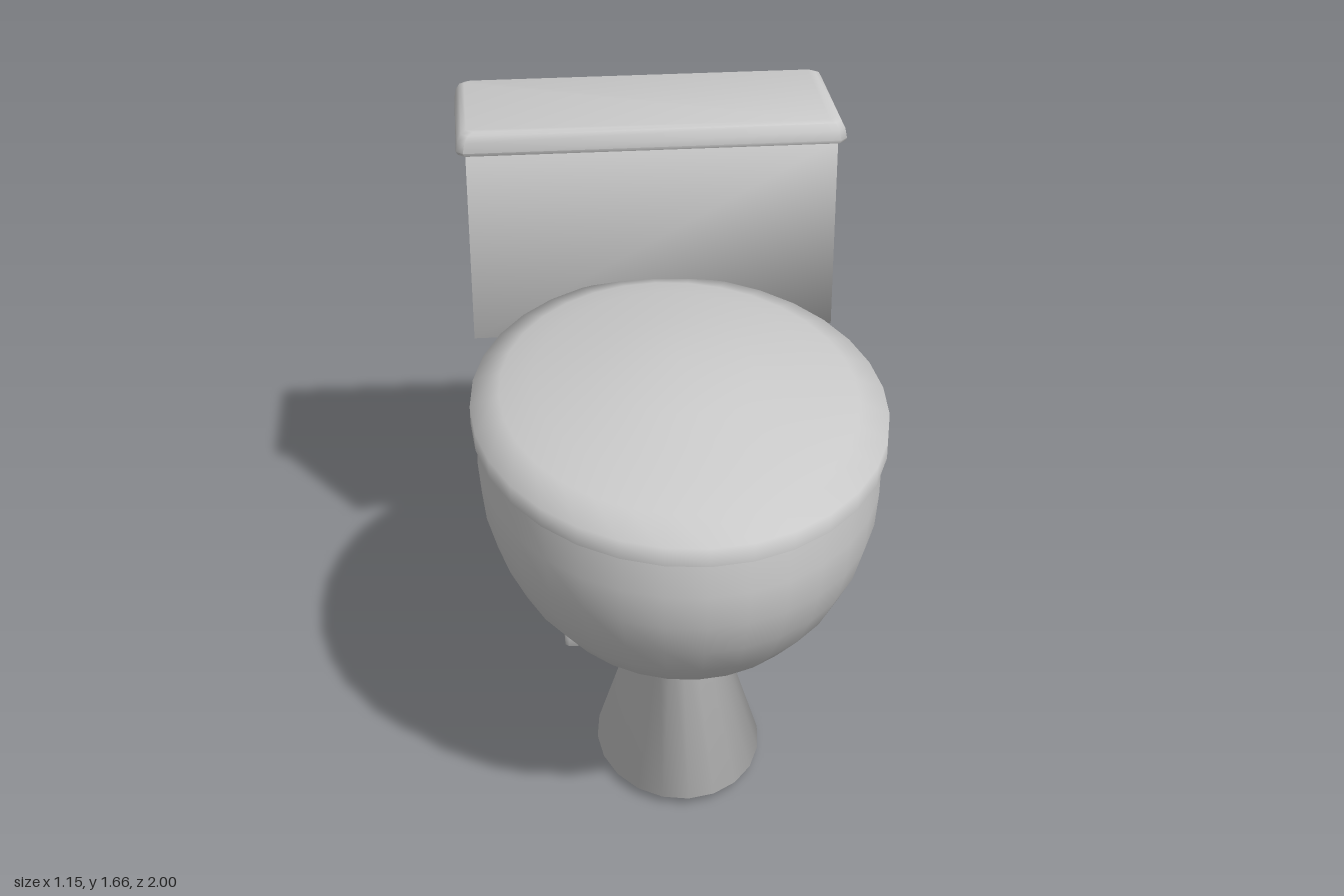
import * as THREE from 'three';
import { mergeVertices, toCreasedNormals } from 'three/addons/utils/BufferGeometryUtils.js';

const material = new THREE.MeshStandardMaterial({ color: 0xcccccc });
const BOWL_Z = 0.215;

function addPart(group, name, geometry) {
  const mesh = new THREE.Mesh(geometry, material);
  mesh.name = name;
  group.add(mesh);
}

// Lathe stretched to an ellipse; profile is [radius, y] from bottom to top
function ovalLathe(profile, rx, rz, segments, crease) {
  const points = profile.map(([r, y]) => new THREE.Vector2(r, y));
  const geometry = new THREE.LatheGeometry(points, segments);
  geometry.scale(rx, 1, rz);
  geometry.deleteAttribute('normal');
  geometry.deleteAttribute('uv');
  geometry.translate(0, 0, BOWL_Z);
  return toCreasedNormals(mergeVertices(geometry), crease);
}

// Closed skin over horizontal rings: { y, ring: [[x, z], ...] } from bottom to top
function loft(sections, crease) {
  const n = sections[0].ring.length;
  const positions = [];
  const index = [];
  for (const { y, ring } of sections) for (const [x, z] of ring) positions.push(x, y, z);
  for (let i = 0; i < sections.length - 1; i++) {
    for (let j = 0; j < n; j++) {
      const a = i * n + j, b = i * n + (j + 1) % n;
      index.push(a, b, b + n, a, b + n, a + n);
    }
  }
  const top = (sections.length - 1) * n;
  for (let j = 1; j < n - 1; j++) {
    index.push(0, j + 1, j);
    index.push(top, top + j, top + j + 1);
  }
  const geometry = new THREE.BufferGeometry();
  geometry.setAttribute('position', new THREE.Float32BufferAttribute(positions, 3));
  geometry.setIndex(index);
  return toCreasedNormals(geometry, crease);
}

// Mirrors a front-to-back half outline into a full ring
const mirrored = (half) => [...half, ...half.slice().reverse().map(([x, z]) => [-x, z])];

// Rectangle with cut corners
function rectRing(cx, cz, w, d, cut) {
  const half = [[w - cut, d], [w, d - cut], [w, cut - d], [w - cut, -d]];
  return mirrored(half).map(([x, z]) => [x + cx, z + cz]);
}

export function createModel() {
  const model = new THREE.Group();
  model.name = 'toilet';

  // Pedestal under the bowl, with a shallow pointed underside
  addPart(model, 'pedestal', ovalLathe(
    [[0, 0], [0.24, 0.025], [0.105, 0.45], [0.15, 0.5]], 1, 1.34, 20, 2.2));

  // Bowl
  addPart(model, 'bowl', ovalLathe(
    [[0, 0.44], [0.2, 0.45], [0.37, 0.475], [0.55, 0.525], [0.72, 0.595], [0.85, 0.69],
      [0.935, 0.79], [0.985, 0.89], [1, 0.99], [0.985, 1.1], [0, 1.1]], 0.556, 0.74, 32, 0.9));

  // Domed seat lid, just clear of the rim
  addPart(model, 'seatLid', ovalLathe(
    [[0, 1.11], [1, 1.11], [1, 1.162], [0.86, 1.192], [0.7, 1.22], [0.36, 1.26], [0, 1.283]],
    0.569, 0.785, 32, 1.4));

  // Rear column: narrow at the back and waist, flared under the tank and onto the foot
  const column = [
    [0.025, [[0.06, 0.05], [0.08, -0.2], [0.27, -0.3], [0.27, -0.6], [0.09, -0.92]]],
    [0.11, [[0.06, 0.05], [0.07, -0.18], [0.25, -0.3], [0.25, -0.6], [0.09, -0.921]]],
    [0.18, [[0.06, 0.07], [0.065, -0.15], [0.15, -0.3], [0.17, -0.6], [0.09, -0.922]]],
    [0.4, [[0.05, 0.12], [0.06, -0.07], [0.1, -0.27], [0.12, -0.62], [0.09, -0.927]]],
    [0.52, [[0.05, 0.12], [0.07, -0.08], [0.11, -0.3], [0.13, -0.62], [0.09, -0.932]]],
    [0.75, [[0.07, 0.1], [0.11, -0.15], [0.17, -0.4], [0.19, -0.58], [0.095, -0.94]]],
    [0.9, [[0.1, 0], [0.14, -0.2], [0.22, -0.42], [0.28, -0.55], [0.1, -0.945]]],
    [0.99, [[0.1, 0], [0.16, -0.2], [0.25, -0.43], [0.32, -0.54], [0.1, -0.945]]],
  ];
  addPart(model, 'rearColumn', loft(column.map(([y, half]) => ({ y, ring: mirrored(half) })), 1.15));

  // Foot plate
  const foot = [[0.025, 0.33], [0.095, 0.33], [0.105, 0.32]];
  addPart(model, 'footPlate', loft(foot.map(([y, w]) => (
    { y, ring: rectRing(0.02, -0.585, w, w - 0.005, 0.012) })), 1.65));

  // Tank with its underside sloping down to the back
  const tank = new THREE.BoxGeometry(1.1, 0.65, 0.43);
  const p = tank.attributes.position;
  for (let i = 0; i < p.count; i++) {
    const front = p.getZ(i) > 0;
    const y = p.getY(i) > 0 ? 1.6 : front ? 1.0 : 0.89;
    const z = front ? -0.525 : y > 1.5 ? -0.962 : -0.945;
    p.setXYZ(i, p.getX(i), y, z);
  }
  tank.deleteAttribute('normal');
  tank.deleteAttribute('uv');
  const smoothTank = mergeVertices(tank);
  smoothTank.computeVertexNormals();
  addPart(model, 'tank', smoothTank);

  // Tank lid with a softened upper edge
  const lid = [[1.595, 0.572, 0.242], [1.605, 0.577, 0.245], [1.635, 0.571, 0.242],
    [1.655, 0.56, 0.234], [1.662, 0.545, 0.22]];
  addPart(model, 'tankLid', loft(lid.map(([y, w, d]) => (
    { y, ring: rectRing(0, -0.755, w, d, 0.02) })), 0.95));

  return model;
}
